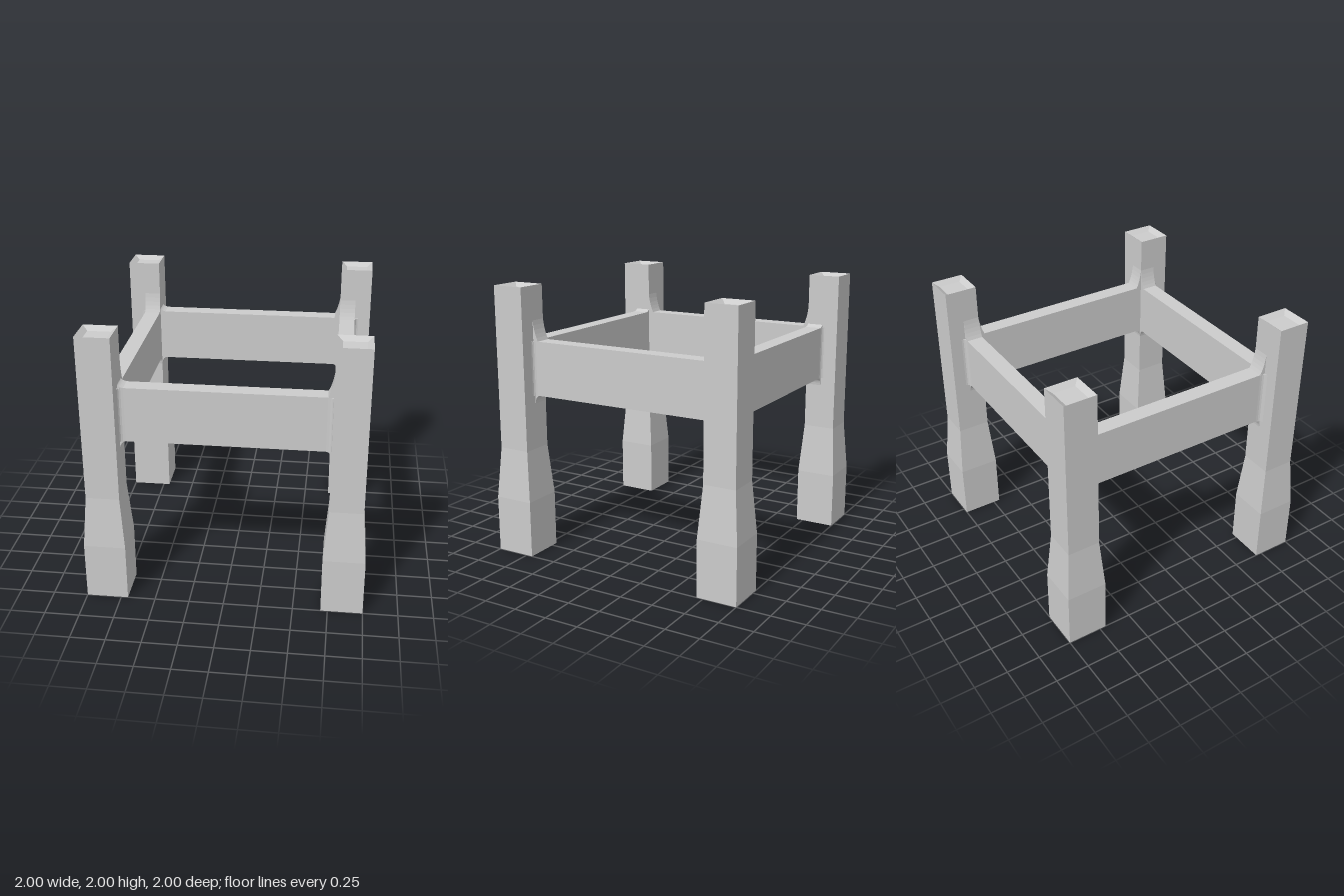
import * as THREE from 'three';

const material = new THREE.MeshStandardMaterial({ color: 0xcccccc, flatShading: true });

// Square leg: block foot, tapered ankle, straight post, shallow dished top
function makeLegGeometry() {
  const profile = [[0, 0], [0.15, 0], [0.15, 0.42], [0.12, 0.8], [0.12, 2], [0.08, 1.97], [0, 1.97]]
    .map(([half, y]) => new THREE.Vector2(half * Math.SQRT2, y));
  const geo = new THREE.LatheGeometry(profile, 4, Math.PI / 4).toNonIndexed();
  geo.computeVertexNormals();
  return geo;
}

// Rail outline in elevation, flaring into the legs; top flares can differ per end
function makeRailGeometry(flareLeft, flareRight) {
  const end = 0.75, face = 0.73, neck = 0.69;
  const s = new THREE.Shape();
  s.moveTo(-end, 1.14);
  s.lineTo(-face, 1.14);
  s.quadraticCurveTo(-face + 0.005, 1.195, neck * -1, 1.2);
  s.lineTo(neck, 1.2);
  s.quadraticCurveTo(face - 0.005, 1.195, face, 1.14);
  s.lineTo(end, 1.14);
  s.lineTo(end, 1.6 + flareRight);
  s.lineTo(face, 1.6 + flareRight);
  s.quadraticCurveTo(face - 0.01, 1.6 + flareRight * 0.4, neck, 1.6);
  s.lineTo(-neck, 1.6);
  s.quadraticCurveTo(-face + 0.01, 1.6 + flareLeft * 0.4, -face, 1.6 + flareLeft);
  s.lineTo(-end, 1.6 + flareLeft);
  s.closePath();
  const geo = new THREE.ExtrudeGeometry(s, { depth: 0.12, bevelEnabled: false, curveSegments: 5 });
  geo.translate(0, 0, 0.73);
  return geo;
}

// Upright cove where the rail's outer face meets a leg
function makeCoveGeometry() {
  const s = new THREE.Shape();
  s.moveTo(0.74, -0.84);
  s.lineTo(0.69, -0.84);
  s.lineTo(0.69, -0.85);
  s.quadraticCurveTo(0.73, -0.85, 0.73, -0.88);
  s.lineTo(0.74, -0.88);
  s.closePath();
  const geo = new THREE.ExtrudeGeometry(s, { depth: 0.4, bevelEnabled: false, curveSegments: 4 });
  geo.rotateX(-Math.PI / 2);
  geo.translate(0, 1.2, 0);
  return geo;
}

export function createModel() {
  const model = new THREE.Group();
  model.name = 'tableFrame';

  const legGeo = makeLegGeometry();
  for (const [zName, z] of [['front', 0.85], ['back', -0.85]]) {
    for (const [xName, x] of [['Left', 0.85], ['Right', -0.85]]) {
      const leg = new THREE.Mesh(legGeo, material);
      leg.name = `${zName}${xName}Leg`;
      leg.position.set(x, 0, z);
      model.add(leg);
    }
  }

  // Four rails, each turned a quarter further around the frame
  const coveGeo = makeCoveGeometry();
  const rails = [
    ['frontRail', 0.02, 0.15],
    ['leftRail', 0.15, 0.15],
    ['backRail', 0.15, 0.02],
    ['rightRail', 0.15, 0.15],
  ];
  rails.forEach(([name, flareLeft, flareRight], i) => {
    const side = new THREE.Group();
    side.name = name;
    const board = new THREE.Mesh(makeRailGeometry(flareLeft, flareRight), material);
    board.name = 'railBoard';
    side.add(board);
    for (const sign of [1, -1]) {
      const cove = new THREE.Mesh(coveGeo, material);
      cove.name = 'railCove';
      cove.scale.x = sign;
      side.add(cove);
    }
    side.rotation.y = i * Math.PI / 2;
    model.add(side);
  });

  return model;
}
